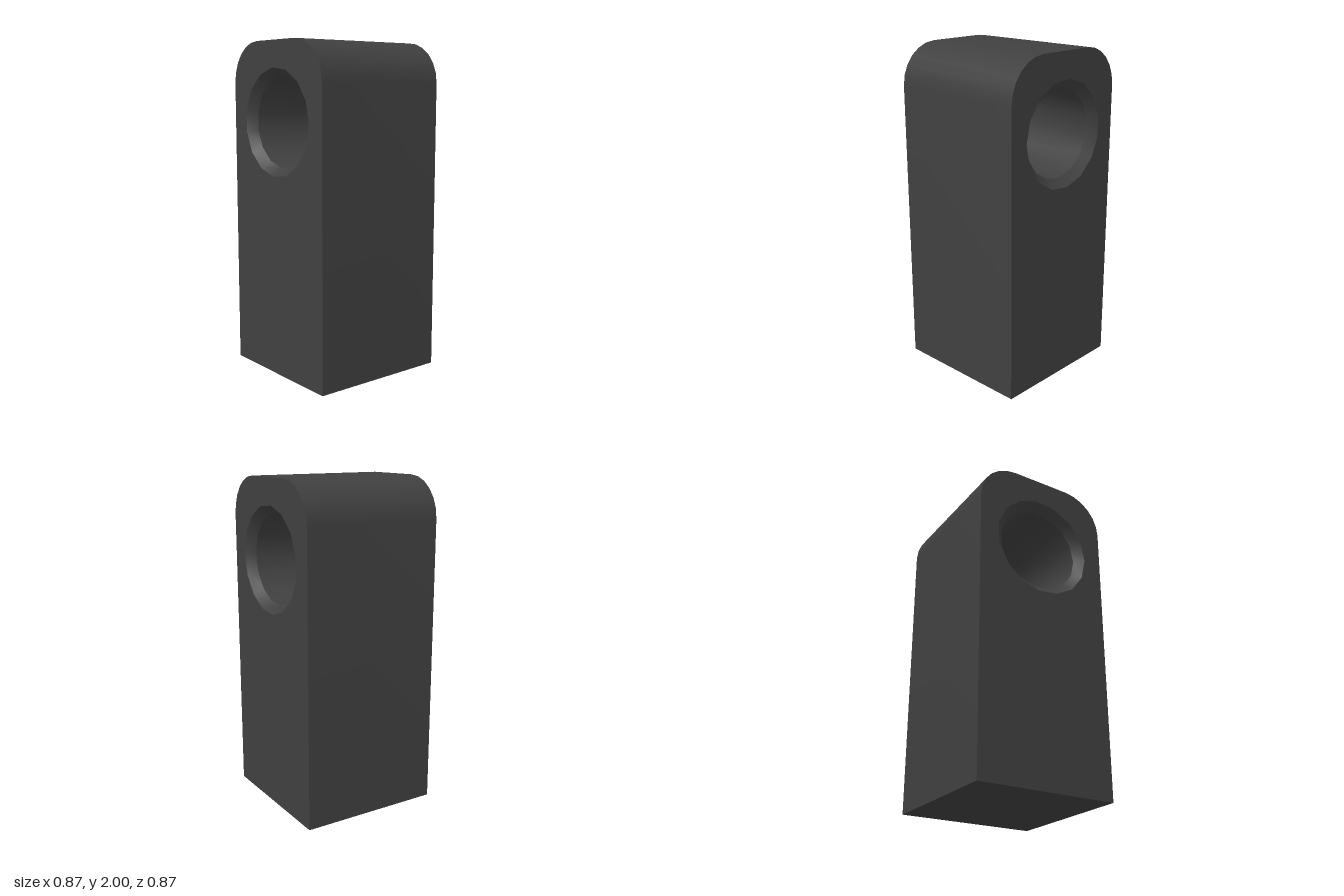
import * as THREE from 'three';
import { mergeGeometries, toCreasedNormals } from 'three/addons/utils/BufferGeometryUtils.js';

const HALF = 0.437, HEIGHT = 2, CORNER = 0.247;
const BORE_Y = 1.526, BORE_R = 0.268, CHAMFER = 0.051, SIDES = 15;

// Closed band of quads joining two matching rings at depths wa and wb
function band(ringA, wa, ringB, wb) {
  const pos = [];
  const n = ringA.length;
  for (let i = 0; i < n; i++) {
    const j = (i + 1) % n;
    const a = [ringA[i].x, ringA[i].y, wa], b = [ringA[j].x, ringA[j].y, wa];
    const c = [ringB[j].x, ringB[j].y, wb], d = [ringB[i].x, ringB[i].y, wb];
    pos.push(...a, ...b, ...c, ...a, ...c, ...d);
  }
  const g = new THREE.BufferGeometry();
  g.setAttribute('position', new THREE.Float32BufferAttribute(pos, 3));
  return g;
}

// Clockwise ring, so its band faces the bore axis
function boreRing(r) {
  return Array.from({ length: SIDES }, (_, i) => {
    const t = Math.PI - (i / SIDES) * Math.PI * 2;
    return new THREE.Vector2(r * Math.cos(t), BORE_Y + r * Math.sin(t));
  });
}

// Block profile: square foot, two rounded top corners, counter-clockwise
function blockOutline(steps = 6) {
  const pts = [new THREE.Vector2(-HALF, 0), new THREE.Vector2(HALF, 0)];
  for (const side of [1, -1]) {
    for (let i = 0; i <= steps; i++) {
      const t = (side > 0 ? 0 : Math.PI / 2) + (i / steps) * Math.PI / 2;
      pts.push(new THREE.Vector2(
        side * (HALF - CORNER) + CORNER * Math.cos(t),
        HEIGHT - CORNER + CORNER * Math.sin(t)));
    }
  }
  return pts;
}

// Flat side face with the bore opening, at depth w
function sideFace(outline, opening, w) {
  const shape = new THREE.Shape(outline);
  shape.holes.push(new THREE.Path(opening));
  const g = new THREE.ShapeGeometry(shape);
  if (w < 0) g.index.array.reverse();
  const flat = g.toNonIndexed().translate(0, 0, w);
  flat.deleteAttribute('uv');
  flat.deleteAttribute('normal');
  return flat;
}

export function createModel() {
  const group = new THREE.Group();
  const material = new THREE.MeshStandardMaterial({ color: 0x404040 });
  const outline = blockOutline();
  const mouth = boreRing(BORE_R + CHAMFER), bore = boreRing(BORE_R);
  const inner = HALF - CHAMFER;

  const addPart = (name, parts) => {
    const g = toCreasedNormals(mergeGeometries(parts), 0.6);
    g.rotateY(Math.PI / 2); // profile lies in the z-y plane, depth along x
    const mesh = new THREE.Mesh(g, material);
    mesh.name = name;
    group.add(mesh);
  };

  // Block with its two pierced sides
  addPart('block', [
    band(outline, -HALF, outline, HALF),
    sideFace(outline, mouth, HALF),
    sideFace(outline, mouth, -HALF),
  ]);

  // Through hole, chamfered at both ends
  addPart('chamferedBore', [
    band(mouth, -HALF, bore, -inner),
    band(bore, -inner, bore, inner),
    band(bore, inner, mouth, HALF),
  ]);

  group.name = 'piercedBlock';
  return group;
}
